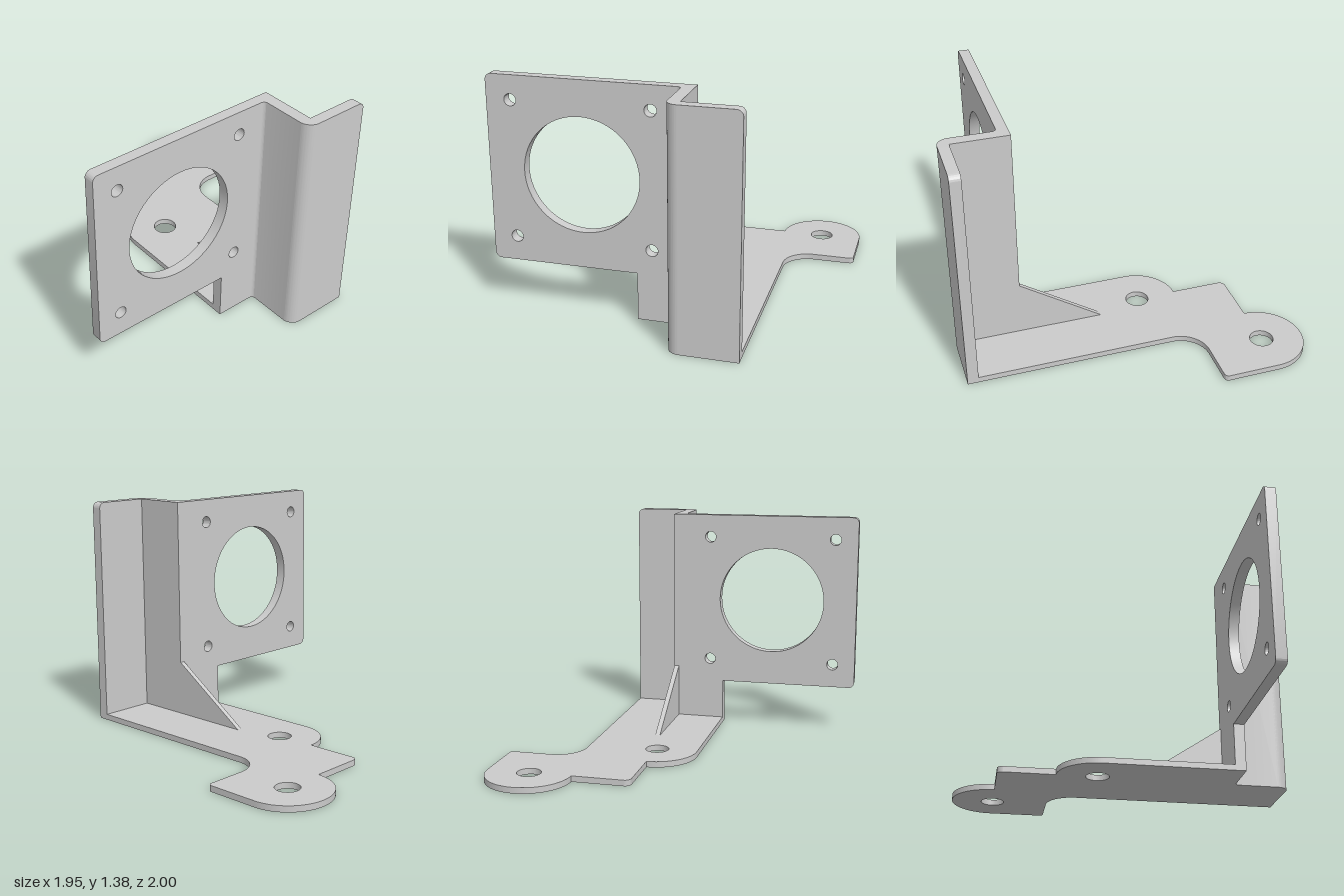
import * as THREE from 'three';
import { toCreasedNormals } from 'three/addons/utils/BufferGeometryUtils.js';

const T = 0.065;      // upright sheet thickness
const BASE_T = 0.035; // base sheet thickness
const TOP = 1.38;

export function createModel() {
  const group = new THREE.Group();
  const material = new THREE.MeshStandardMaterial({ color: 0xcccccc });

  const extrude = (shape, depth) =>
    new THREE.ExtrudeGeometry(shape, { depth, bevelEnabled: false, curveSegments: 32 });
  const add = (name, geometry) => {
    const mesh = new THREE.Mesh(toCreasedNormals(geometry, 0.5), material);
    mesh.name = name;
    group.add(mesh);
  };
  const hole = (shape, x, y, r) =>
    shape.holes.push(new THREE.Path().absarc(x, y, r, 0, Math.PI * 2, true));

  // Base: plan drawn with y = -z, then laid flat
  const base = new THREE.Shape();
  base.moveTo(-0.115, -0.6);
  base.lineTo(0.215, -0.6);
  base.lineTo(0.215, -0.935);
  base.lineTo(0.55, -0.935);
  base.lineTo(0.55, 0.245);
  base.absarc(0.72, 0.245, 0.17, Math.PI, Math.PI / 2, true);
  base.lineTo(0.945, 0.415);
  base.absarc(0.945, 0.44, 0.025, -Math.PI / 2, 0, false);
  base.lineTo(0.97, 0.75);
  base.absarc(0.72, 0.75, 0.25, 0, Math.PI, false);
  base.lineTo(0.165, 0.75);
  base.absarc(0.165, 0.715, 0.035, Math.PI / 2, Math.PI, false);
  base.lineTo(0.13, 0.41);
  base.absarc(0.13, 0.165, 0.245, Math.PI / 2, Math.PI, false);
  base.closePath();
  hole(base, 0.13, 0.165, 0.07);
  hole(base, 0.72, 0.75, 0.07);
  add('basePlate', extrude(base, BASE_T).rotateX(-Math.PI / 2));

  // Upright plate with the large opening and four screw holes
  const r = 0.035;
  const plate = new THREE.Shape();
  plate.moveTo(-0.115, 0);
  plate.lineTo(0.12, 0);
  plate.lineTo(0.12, TOP);
  plate.lineTo(-0.975 + r, TOP);
  plate.absarc(-0.975 + r, TOP - r, r, Math.PI / 2, Math.PI, false);
  plate.lineTo(-0.975, 0.285 + r);
  plate.absarc(-0.975 + r, 0.285 + r, r, Math.PI, Math.PI * 1.5, false);
  plate.lineTo(-0.115, 0.285);
  plate.closePath();
  hole(plate, -0.43, 0.835, 0.337);
  for (const x of [-0.833, -0.028])
    for (const y of [0.432, 1.238]) hole(plate, x, y, 0.035);
  add('mountingPlate', extrude(plate, T).translate(0, 0, 0.6));

  // Web joining plate and flange, with its rounded bends
  const web = new THREE.Shape();
  web.moveTo(0.12, -0.6);
  web.lineTo(0.12, -0.665);
  web.absarc(0.12, -0.69, 0.025, Math.PI / 2, 0, true);
  web.lineTo(0.145, -0.93);
  web.absarc(0.215, -0.93, 0.07, Math.PI, Math.PI * 1.5, false);
  web.lineTo(0.215, -0.6);
  web.closePath();
  add('bentWeb', extrude(web, TOP).rotateX(-Math.PI / 2));

  // Front flange
  const flange = new THREE.Shape();
  flange.moveTo(0.215, 0);
  flange.lineTo(0.55, 0);
  flange.lineTo(0.55, TOP - r);
  flange.absarc(0.55 - r, TOP - r, r, 0, Math.PI / 2, false);
  flange.lineTo(0.215, TOP);
  flange.closePath();
  add('frontFlange', extrude(flange, T).translate(0, 0, 0.935));

  // Triangular gusset behind the web, drawn in z and y
  const gusset = new THREE.Shape([[0.6, BASE_T], [0.6, 0.37], [0.1, BASE_T]]
    .map(([z, y]) => new THREE.Vector2(z, y)));
  add('gusset', extrude(gusset, 0.03).rotateY(-Math.PI / 2).translate(0.215, 0, 0));

  return group;
}
